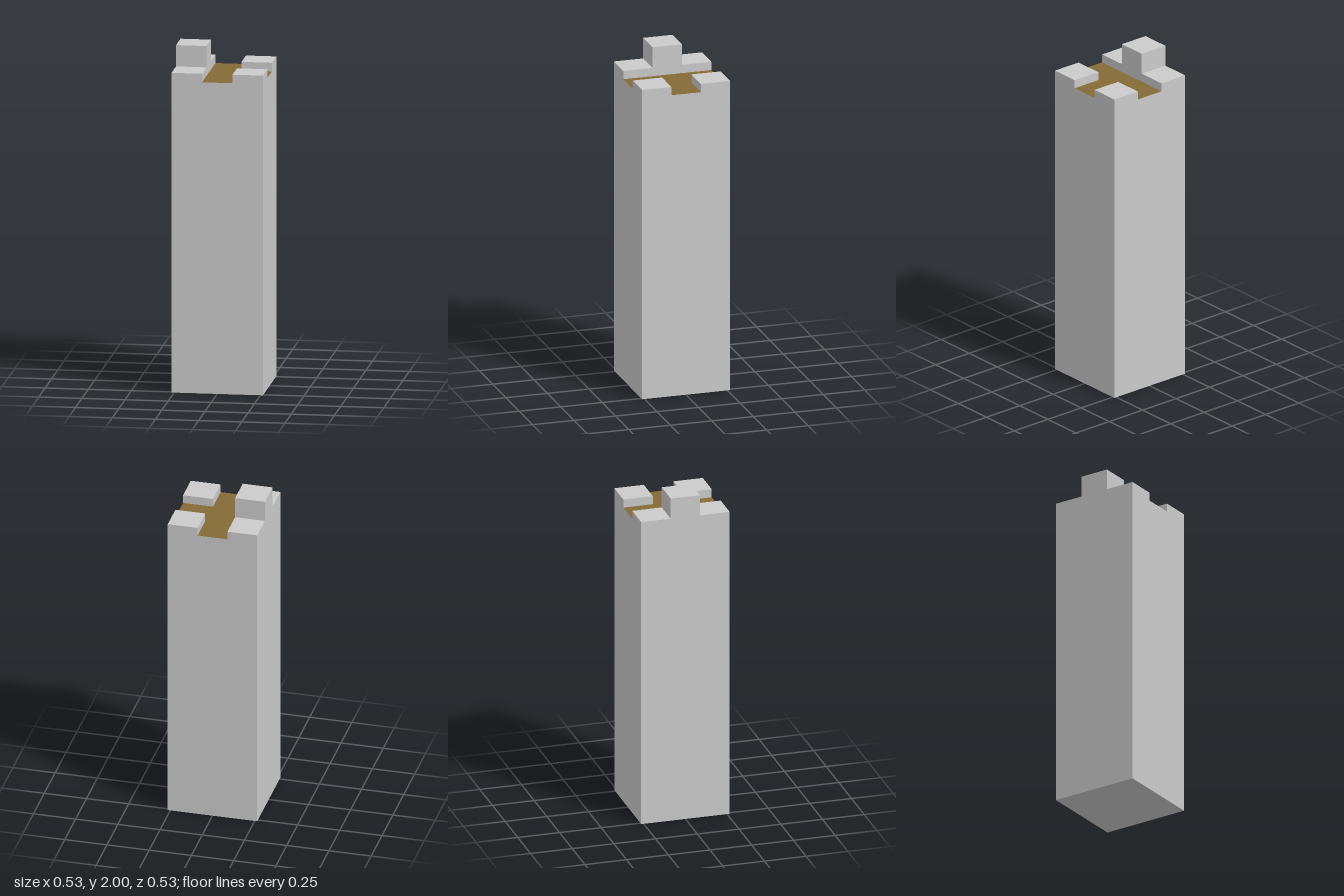
import * as THREE from 'three';

const HALF = 0.265;           // half the tower's width
const CELL = (HALF * 2) / 3;  // the top is a 3 x 3 grid of cells
const FLOOR = 1.825;          // height of the walkway
const LOW = 1.875;            // top of the corner merlons
const HIGH = 2;               // top of the tall merlon

export function createModel() {
  const tower = new THREE.Group();
  tower.name = 'tower';
  const stone = new THREE.MeshStandardMaterial({ color: 0xcccccc, flatShading: true });
  const wood = new THREE.MeshStandardMaterial({ color: 0x846b35, flatShading: true });

  // Shaft: walls and base, with its top left open for the floor
  const shaftGeometry = new THREE.BoxGeometry(HALF * 2, FLOOR, HALF * 2);
  const index = Array.from(shaftGeometry.index.array);
  index.splice(12, 6);
  shaftGeometry.setIndex(index);
  shaftGeometry.clearGroups();
  const shaft = new THREE.Mesh(shaftGeometry, stone);
  shaft.name = 'shaft';
  shaft.position.y = FLOOR / 2;
  tower.add(shaft);

  // Brown walkway floor closing the shaft
  const floor = new THREE.Mesh(new THREE.PlaneGeometry(HALF * 2, HALF * 2), wood);
  floor.name = 'walkwayFloor';
  floor.rotation.x = -Math.PI / 2;
  floor.position.y = FLOOR;
  tower.add(floor);

  // Merlon filling one grid cell, from the floor up to a given height
  function addMerlon(name, column, row, top) {
    const merlon = new THREE.Mesh(new THREE.BoxGeometry(CELL, top - FLOOR, CELL), stone);
    merlon.name = name;
    merlon.position.set(column * CELL, (FLOOR + top) / 2, row * CELL);
    tower.add(merlon);
  }

  // Low merlons on the four corners
  for (const column of [-1, 1]) {
    for (const row of [-1, 1]) {
      const side = column > 0 ? 'Left' : 'Right';
      addMerlon((row > 0 ? 'front' : 'back') + side + 'Merlon', column, row, LOW);
    }
  }

  // Tall merlon in the middle of the right side
  addMerlon('tallMerlon', -1, 0, HIGH);

  return tower;
}
